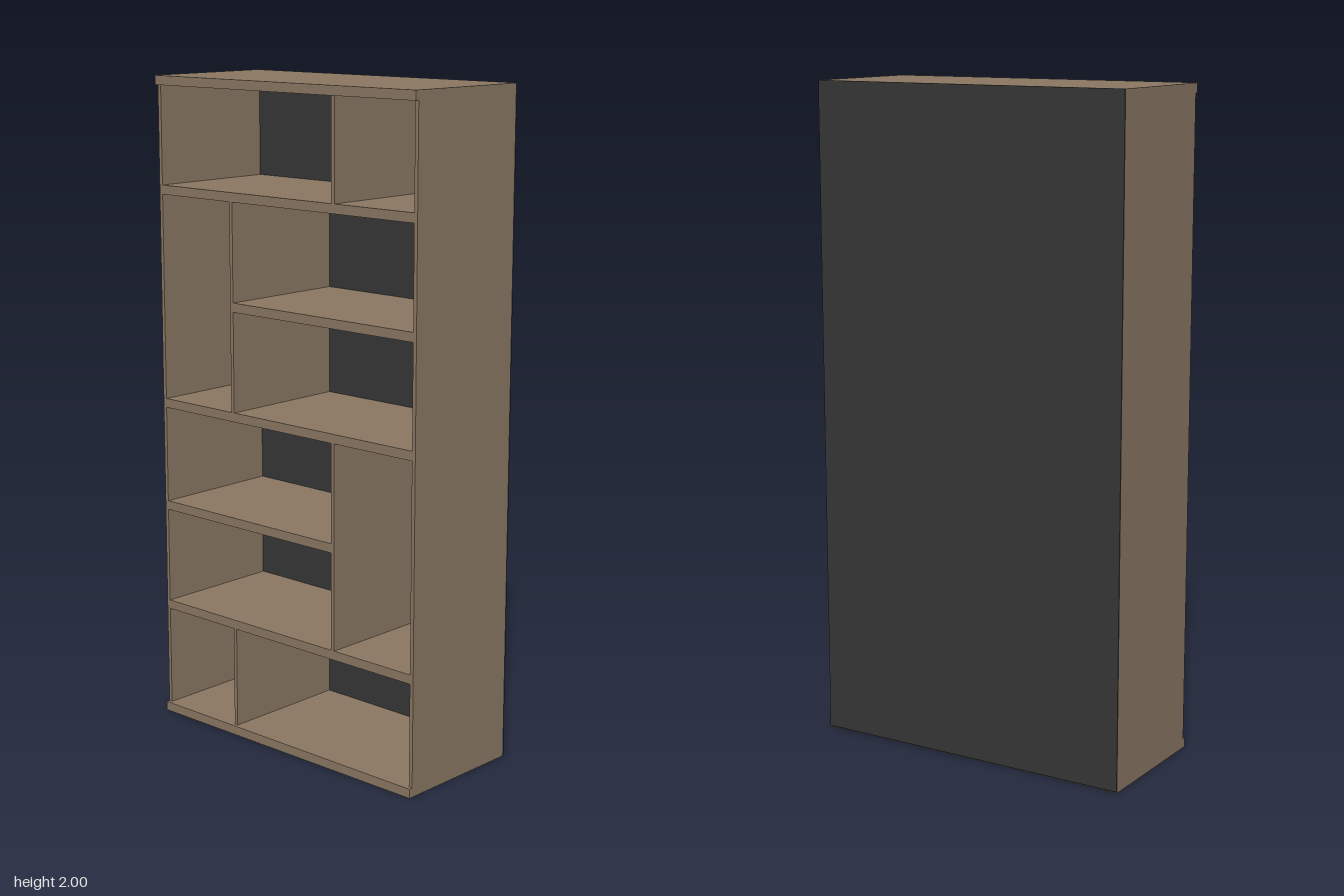
import * as THREE from 'three';

export function createModel() {
  const group = new THREE.Group();
  const wood = new THREE.MeshStandardMaterial({ color: 0x8a7763 });
  wood.name = 'brownWood';
  const dark = new THREE.MeshStandardMaterial({ color: 0x363636 });
  dark.name = 'darkPanel';

  // Board given by its extents on each axis
  function board(name, [x0, x1], [y0, y1], [z0, z1], material = wood) {
    const mesh = new THREE.Mesh(new THREE.BoxGeometry(x1 - x0, y1 - y0, z1 - z0), material);
    mesh.position.set((x0 + x1) / 2, (y0 + y1) / 2, (z0 + z1) / 2);
    mesh.name = name;
    group.add(mesh);
  }

  const W = 0.51, T = 0.012, H = 0.028;   // half width, upright and shelf thickness
  const back = -0.211, front = 0.205, lip = 0.216;
  const depth = [back, front];
  const inner = W - T;

  // Carcass: top and base overhang the front slightly
  board('base', [-W, W], [0, H], [back, lip]);
  board('top', [-W, W], [2 - H, 2], [back, lip]);
  board('leftSide', [inner, W], [H, 2 - H], depth);
  board('rightSide', [-W, -inner], [H, 2 - H], depth);
  board('backPanel', [-W, W], [0.004, 2], [-0.216, back], dark);

  // Shelves: [centre height, x start, x end]
  const shelves = [
    [0.353, -inner, inner],
    [0.677, -inner, 0.195],
    [1.003, -inner, inner],
    [1.335, -0.2, inner],
    [1.66, -inner, inner],
  ];
  for (const [y, x0, x1] of shelves) board('shelf', [x0, x1], [y - H / 2, y + H / 2], depth);

  // Upright dividers: [x start, bottom, top]
  const dividers = [
    [-0.212, H, 0.339],
    [0.194, 0.367, 0.989],
    [-0.212, 1.017, 1.646],
    [0.194, 1.674, 2 - H],
  ];
  for (const [x, y0, y1] of dividers) board('divider', [x, x + T], [y0, y1], depth);

  return group;
}
